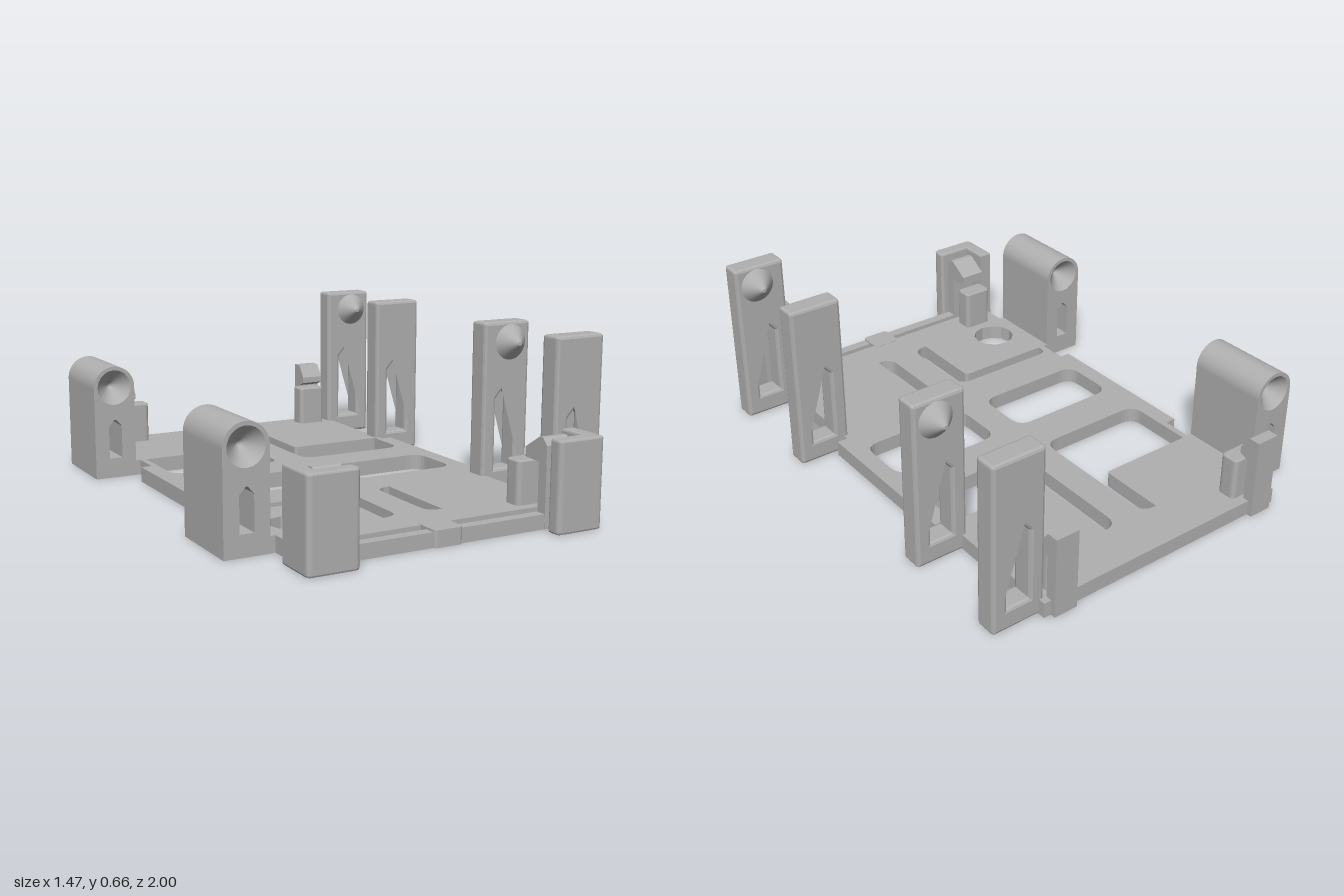
import * as THREE from 'three';

const grey = new THREE.MeshStandardMaterial({ color: 0xb0b0b0 });
grey.name = 'grey plastic';
const greyOpen = grey;

// Path through [x, y, radius] corners, rounded where a radius is given
function trace(path, pts) {
  const n = pts.length;
  const toward = (a, b, r) => {
    const d = Math.hypot(b[0] - a[0], b[1] - a[1]);
    return [a[0] + ((b[0] - a[0]) * r) / d, a[1] + ((b[1] - a[1]) * r) / d];
  };
  pts.forEach((p, i) => {
    const r = p[2] || 0;
    const a = r ? toward(p, pts[(i + n - 1) % n], r) : p;
    if (i) path.lineTo(a[0], a[1]); else path.moveTo(a[0], a[1]);
    if (r) {
      const b = toward(p, pts[(i + 1) % n], r);
      path.quadraticCurveTo(p[0], p[1], b[0], b[1]);
    }
  });
  path.closePath();
  return path;
}
const shapeOf = (pts) => trace(new THREE.Shape(), pts);
const holeOf = (pts) => trace(new THREE.Path(), pts);

// Extrusion whose overall outline and depth stay exact when bevelled
function extrude(shape, depth, bevel = 0, curveSegments = 6) {
  const g = new THREE.ExtrudeGeometry(shape, {
    depth: depth - 2 * bevel, curveSegments, bevelEnabled: bevel > 0,
    bevelThickness: bevel, bevelSize: bevel, bevelOffset: -bevel, bevelSegments: 2,
  });
  return g.translate(0, 0, bevel);
}
// Plan outlines are given as x, z and rise along y
const plan = (pts) => pts.map(([x, z, r]) => [x, -z, r]);
const rise = (shape, height, bevel) => extrude(shape, height, bevel).rotateX(-Math.PI / 2);
const rect = (x0, y0, x1, y1, r) => [[x0, y0, r], [x1, y0, r], [x1, y1, r], [x0, y1, r]];
// Slot with a pointed top
const slot = (x, w, y0, y1, y2) => holeOf([
  [x - w, y0], [x + w, y0], [x + w, y1], [x + w * 0.15, y2], [x - w * 0.15, y2], [x - w, y1]]);

export function createModel() {
  const model = new THREE.Group();
  model.name = 'mountingTray';
  const add = (name, geometry, x = 0, y = 0, z = 0, parent = model) => {
    const m = new THREE.Mesh(geometry, greyOpen);
    m.name = name;
    m.position.set(x, y, z);
    parent.add(m);
    return m;
  };

  // Base plate with its cutouts
  const base = shapeOf(plan([
    [-0.545, -0.98], [0.54, -0.98], [0.54, -0.41], [0.583, -0.41], [0.583, 0.26], [0.54, 0.26],
    [0.54, 0.83], [-0.545, 0.83], [-0.545, 0.70], [-0.57, 0.70], [-0.57, 0.38], [-0.545, 0.38],
    [-0.545, 0.26], [-0.588, 0.26], [-0.588, -0.41], [-0.545, -0.41], [-0.545, -0.53],
    [-0.57, -0.53], [-0.57, -0.85], [-0.545, -0.85]]));
  const R = 0.06;
  const cutouts = [
    rect(-0.52, -0.075, -0.06, 0.165, R),
    rect(0.06, -0.075, 0.515, 0.165, R),
    [[-0.125, -0.80], [-0.06, -0.80, R], [-0.06, -0.235, R], [-0.52, -0.235, R],
      [-0.52, -0.53], [-0.125, -0.53, 0.015]],
    [[0.06, -0.80, R], [0.12, -0.80], [0.12, -0.435, 0.015], [0.515, -0.435],
      [0.515, -0.235, R], [0.06, -0.235, R]],
    [[-0.52, 0.38], [-0.52, 0.33, 0.04], [-0.06, 0.33, R], [-0.06, 0.69, R],
      [-0.125, 0.69], [-0.125, 0.38, 0.015]],
    [[0.06, 0.33, 0.055], [0.12, 0.33], [0.12, 0.69], [0.06, 0.69, 0.055]],
  ];
  cutouts.forEach((c) => base.holes.push(holeOf(plan(c))));
  const round = new THREE.Path();
  round.absarc(-0.427, -0.59, 0.086, 0, Math.PI * 2);
  base.holes.push(round);
  add('basePlate', rise(base, 0.06));

  // Front rail and its centre tab
  add('frontRail', new THREE.BoxGeometry(0.82, 0.055, 0.042), 0, 0.0275, 0.885);
  add('railTab', rise(shapeOf(plan(rect(-0.06, 0.81, 0.055, 0.915, 0.015))), 0.062), 0, 0, 0);

  // Angled corner guards at the front
  for (const s of [-1, 1]) {
    const pts = [[0.585, 0.828], [0.585, 0.998, 0.02], [0.392, 0.998, 0.02],
      [0.392, 0.938, 0.015], [0.53, 0.938], [0.53, 0.828]];
    add(s > 0 ? 'leftCornerGuard' : 'rightCornerGuard',
      rise(shapeOf(plan(pts.map(([x, z, r]) => [x * s, z, r]))), 0.335, 0.008));
  }

  // Snap hooks and the stops in front of them
  const frontHook = [[0.865, 0], [0.908, 0], [0.908, 0.30], [0.885, 0.325], [0.865, 0.325],
    [0.787, 0.275], [0.787, 0.24], [0.865, 0.235]];
  const backHook = [[-1, 0], [-0.955, 0], [-0.955, 0.225], [-0.918, 0.24], [-0.918, 0.265],
    [-0.955, 0.318], [-1, 0.318]];
  const hook = (pts, w) => extrude(shapeOf(pts), w).translate(0, 0, -w / 2).rotateY(-Math.PI / 2);
  for (const s of [-1, 1]) {
    add('frontHook', hook(frontHook, 0.104), s * 0.456, 0, 0);
    add('backHook', hook(backHook, 0.095), s * 0.463, 0, 0);
    for (const z of [0.752, -0.902]) {
      const x = s * 0.434;
      add('hookStop', rise(shapeOf(rect(-0.06, -0.038, 0.06, 0.038, 0.02)), 0.225, 0.006), x, 0, z);
    }
  }

  // Slotted uprights on the left, pegs facing each other in pairs
  for (const [z, dir] of [[0.76, -1], [0.325, 1], [-0.475, -1], [-0.909, 1]]) {
    const upright = new THREE.Group();
    upright.name = 'upright';
    upright.position.set(0.625, 0, z);
    model.add(upright);
    const s = shapeOf(rect(-0.105, 0, 0.105, 0.66, 0.012));
    s.holes.push(slot(0, 0.046, 0.083, 0.36, 0.405));
    add('uprightPanel', extrude(s, 0.088, 0.012).translate(0, 0, -0.044), 0, 0, 0, upright);
    const peg = add('conePeg', new THREE.CylinderGeometry(0.008, 0.07, 0.062, 40),
      0.015, 0.58, dir * 0.074, upright);
    peg.rotation.x = dir * Math.PI / 2;
  }

  // Round-topped supports on the right with a conical socket at each end
  for (const z of [0.543, -0.688]) {
    const support = new THREE.Group();
    support.name = 'pivotSupport';
    support.position.set(-0.65, 0, z);
    model.add(support);
    const r = 0.085, len = 0.32, cy = 0.37;
    const s = new THREE.Shape();
    s.moveTo(-r, 0);
    s.lineTo(r, 0);
    s.lineTo(r, cy);
    s.absarc(0, cy, r, 0, Math.PI, false);
    s.closePath();
    const bore = new THREE.Path();
    bore.absarc(0, cy, 0.07, 0, Math.PI * 2);
    s.holes.push(bore, slot(0, 0.027, 0.08, 0.212, 0.238));
    add('supportBody', extrude(s, len, 0, 24).translate(0, 0, -len / 2), 0, 0, 0, support);
    for (const d of [-1, 1]) {
      // Lathe runs from the tip outward so its inner side faces the open end
      const cup = new THREE.LatheGeometry(
        [[0.07, 0], [0.009, -0.062], [0, -0.062]].map(([a, b]) => new THREE.Vector2(a, b)), 40);
      const m = add('socket', cup, 0, cy, d * len / 2, support);
      m.rotation.x = d * Math.PI / 2;
    }
  }

  // The cups are seen from inside
  grey.side = THREE.DoubleSide;
  return model;
}
